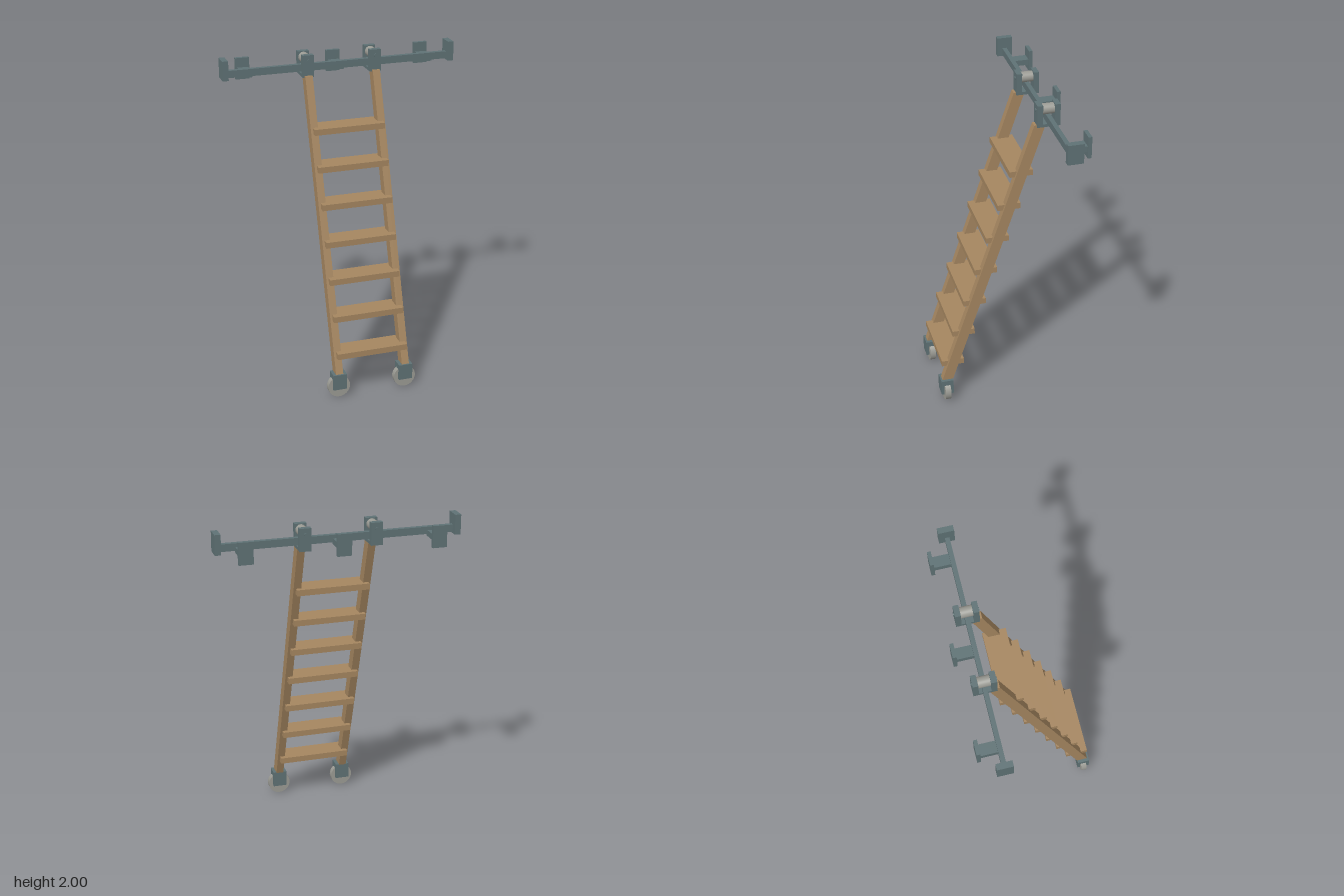
import * as THREE from 'three';

export function createModel() {
  const wood = new THREE.MeshStandardMaterial({ color: 0xa58660 });
  wood.name = 'wood';
  const steel = new THREE.MeshStandardMaterial({ color: 0x5f7275 });
  steel.name = 'blue grey steel';
  const rubber = new THREE.MeshStandardMaterial({ color: 0x9b9b94 });
  rubber.name = 'light grey wheel';

  const model = new THREE.Group();
  model.name = 'rollingLadder';

  // Box given by its limits on each axis
  function box(parent, name, mat, [x0, x1], [y0, y1], [z0, z1]) {
    const mesh = new THREE.Mesh(new THREE.BoxGeometry(x1 - x0, y1 - y0, z1 - z0), mat);
    mesh.position.set((x0 + x1) / 2, (y0 + y1) / 2, (z0 + z1) / 2);
    mesh.name = name;
    parent.add(mesh);
  }

  // Cylinder whose axis runs along z
  function disc(parent, name, mat, r, y, [z0, z1], sides = 32) {
    const geo = new THREE.CylinderGeometry(r, r, z1 - z0, sides).rotateX(Math.PI / 2);
    const mesh = new THREE.Mesh(geo, mat);
    mesh.position.set(0, y, (z0 + z1) / 2);
    mesh.name = name;
    parent.add(mesh);
  }

  function group(name, x) {
    const g = new THREE.Group();
    g.name = name;
    g.position.x = x;
    model.add(g);
    return g;
  }

  // Centre line of the leaning ladder
  const lean = (y) => 0.315 - 0.332 * (y - 0.272);

  // Overhead track with an end stop on both ends
  box(model, 'track', steel, [-0.715, 0.715], [1.888, 1.932], [-0.281, -0.254]);
  for (const s of [-1, 1]) {
    const stop = group(s > 0 ? 'leftEndStop' : 'rightEndStop', s * 0.713);
    box(stop, 'endStop', steel, [-0.018, 0.018], [1.88, 2], [-0.316, -0.223]);
  }

  // Wall brackets behind the track
  for (const x of [-0.572, 0, 0.572]) {
    const bracket = group('wallBracket', x);
    box(bracket, 'wallPlate', steel, [-0.043, 0.043], [1.838, 1.97], [-0.4, -0.378]);
    box(bracket, 'bracketArm', steel, [-0.034, 0.034], [1.876, 1.911], [-0.38, -0.27]);
  }

  for (const s of [-1, 1]) {
    const side = s > 0 ? 'left' : 'right';

    // Leaning side rail with level-cut ends
    const rail = group(side + 'Rail', s * 0.213);
    const half = 0.034, yLow = 0.135, yHigh = 1.875;
    // Shape x becomes -z after the turn, so the profile uses -z
    const profile = new THREE.Shape([
      new THREE.Vector2(-lean(yLow) - half, yLow),
      new THREE.Vector2(-lean(yLow) + half, yLow),
      new THREE.Vector2(-lean(yHigh) + half, yHigh),
      new THREE.Vector2(-lean(yHigh) - half, yHigh),
    ]);
    const geo = new THREE.ExtrudeGeometry(profile, { depth: 0.046, bevelEnabled: false });
    geo.translate(0, 0, -0.023).rotateY(Math.PI / 2);
    const railMesh = new THREE.Mesh(geo, wood);
    railMesh.name = 'sideRail';
    rail.add(railMesh);

    // Hanger straddling the track, with its roller
    const hanger = group(side + 'Hanger', s * 0.212);
    const w = [-0.035, 0.035];
    box(hanger, 'frontHangerPlate', steel, w, [1.864, 2], [-0.231, -0.198]);
    box(hanger, 'backHangerPlate', steel, w, [1.864, 2], [-0.335, -0.303]);
    box(hanger, 'hangerBase', steel, w, [1.864, 1.882], [-0.303, -0.231]);
    disc(hanger, 'trackRoller', rubber, 0.032, 1.964, [-0.302, -0.232]);
    disc(hanger, 'rollerAxle', steel, 0.01, 1.964, [-0.341, -0.193], 16);

    // Floor caster: forked housing and wheel
    const caster = group(side + 'Caster', s * 0.212);
    const c = [-0.043, 0.043];
    box(caster, 'forkTop', steel, c, [0.122, 0.156], [0.321, 0.398]);
    box(caster, 'frontForkPlate', steel, c, [0.057, 0.142], [0.381, 0.398]);
    box(caster, 'backForkPlate', steel, c, [0.057, 0.142], [0.321, 0.338]);
    disc(caster, 'wheel', rubber, 0.069, 0.069, [0.342, 0.377], 40);
    disc(caster, 'wheelAxle', steel, 0.01, 0.069, [0.33, 0.39], 16);
  }

  // Seven treads
  for (let i = 0; i < 7; i++) {
    const y = 0.272 + i * 0.2153;
    const z = lean(y);
    box(model, 'tread' + (i + 1), wood, [-0.222, 0.222], [y - 0.0185, y + 0.0185], [z - 0.07, z + 0.07]);
  }

  return model;
}
